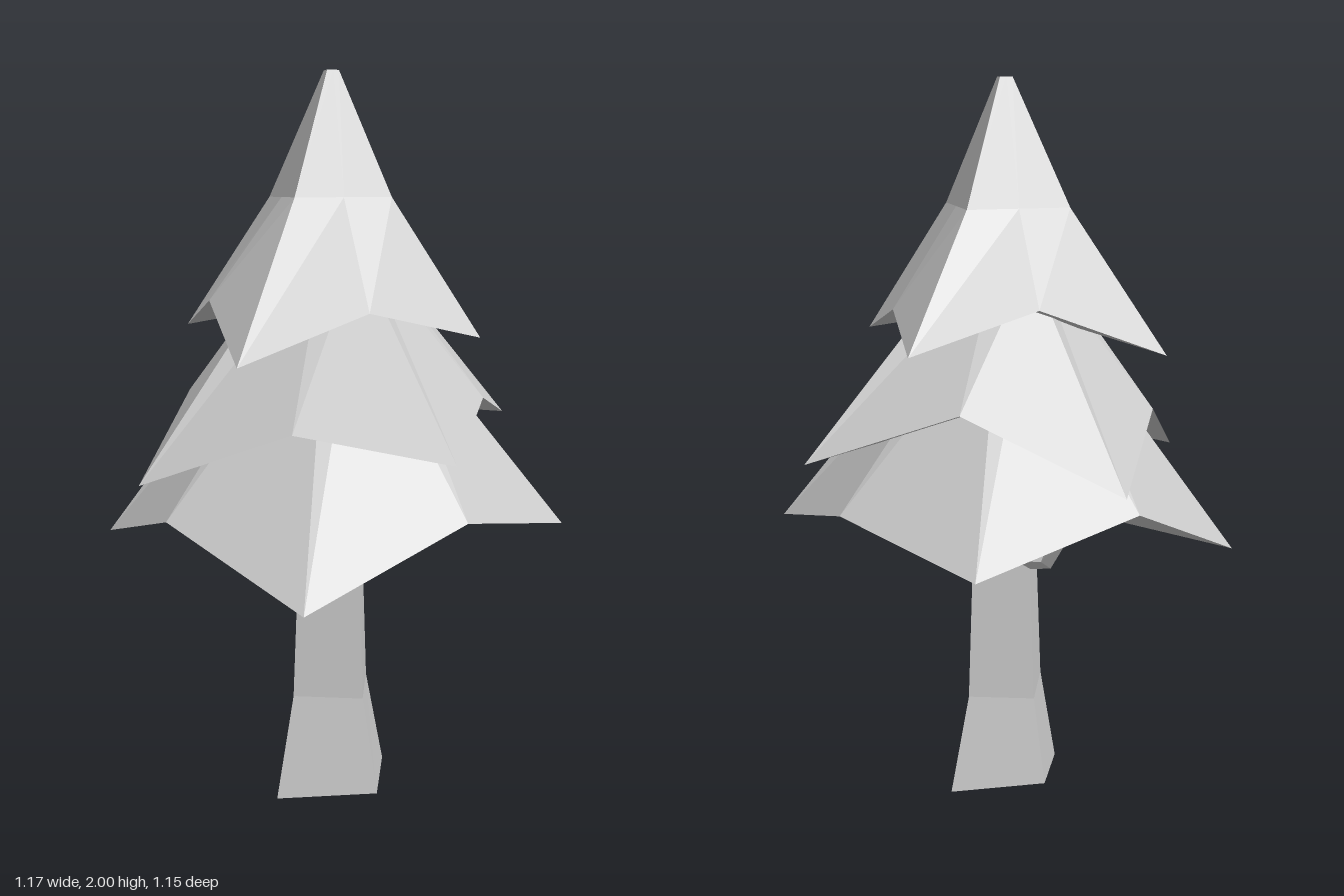
import * as THREE from 'three';

const grey = new THREE.MeshStandardMaterial({ color: 0xcccccc });
grey.name = 'light grey';
grey.flatShading = true;

const CENTRE_X = -0.012;

// Average of a ring of points
const middle = ring => ring.reduce((sum, p) => sum.add(p), new THREE.Vector3()).divideScalar(ring.length);

// Faceted skin over successive rings, closed at both ends
function loft(name, rings, bottom = middle(rings[0])) {
  const points = [];
  const top = rings[rings.length - 1];
  const count = top.length;
  const topCentre = middle(top);
  for (let i = 0; i < count; i++) {
    const j = (i + 1) % count;
    points.push(bottom, rings[0][j], rings[0][i], topCentre, top[i], top[j]);
    for (let r = 0; r < rings.length - 1; r++) {
      const low = rings[r], high = rings[r + 1];
      points.push(low[i], low[j], high[j], low[i], high[j], high[i]);
    }
  }
  const geometry = new THREE.BufferGeometry().setFromPoints(points);
  geometry.computeVertexNormals();
  const mesh = new THREE.Mesh(geometry, grey);
  mesh.name = name;
  return mesh;
}

// Tier of foliage: a drooping rim (corners and notches alternate) narrowing to square rings
function foliage(name, rimPoints, undersideY, levels) {
  const rim = rimPoints.map(p => new THREE.Vector3(...p));
  const rings = levels.map(([scale, y]) => {
    const ring = rim.map(p => new THREE.Vector3(CENTRE_X + (p.x - CENTRE_X) * scale, y, p.z * scale));
    for (let i = 1; i < ring.length; i += 2) {
      ring[i].lerpVectors(ring[i - 1], ring[(i + 1) % ring.length], 0.5);
    }
    return ring;
  });
  return loft(name, [rim, ...rings], new THREE.Vector3(CENTRE_X, undersideY, 0));
}

// Bent four-sided twig following [z, y, radius] points
function branch(name, path) {
  const side = new THREE.Vector3(1, 0, 0);
  const centres = path.map(([z, y]) => new THREE.Vector3(CENTRE_X, y, z));
  const rings = centres.map((p, i) => {
    const before = centres[Math.max(i - 1, 0)];
    const after = centres[Math.min(i + 1, centres.length - 1)];
    const up = after.clone().sub(before).normalize().cross(side);
    const r = path[i][2];
    return [[side, r], [up, r], [side, -r], [up, -r]].map(([d, k]) => p.clone().addScaledVector(d, k));
  });
  return loft(name, rings);
}

// Diamond trunk ring: front, right, back and left corners
function trunkRing(front, right, back, left, ys) {
  return [
    new THREE.Vector3(CENTRE_X, ys[0], front),
    new THREE.Vector3(right, ys[1], -0.01),
    new THREE.Vector3(CENTRE_X, ys[2], back),
    new THREE.Vector3(left, ys[3], 0),
  ];
}

export function createModel() {
  const tree = new THREE.Group();
  tree.name = 'tree';

  // Flared trunk with a slightly uneven foot
  tree.add(loft('trunk', [
    trunkRing(0.2, 0.19, -0.185, -0.21, [0.03, 0.012, 0.045, 0]),
    trunkRing(0.137, 0.125, -0.135, -0.15, [0.29, 0.29, 0.29, 0.29]),
    trunkRing(0.11, 0.1, -0.105, -0.12, [0.9, 0.9, 0.9, 0.9]),
  ]));

  // Twigs on the front and back of the trunk
  tree.add(branch('frontBranch', [[0.08, 0.7, 0.03], [0.18, 0.71, 0.024], [0.27, 0.79, 0.019], [0.32, 0.86, 0.015]]));
  tree.add(branch('backBranch', [[-0.08, 0.695, 0.03], [-0.19, 0.72, 0.024], [-0.25, 0.8, 0.019], [-0.268, 0.89, 0.015]]));

  // Three stacked tiers, each turned against the one below
  tree.add(foliage('lowerFoliage', [
    [0.44, 0.785, 0.45], [0.53, 0.905, 0],
    [0.44, 0.83, -0.455], [-0.01, 0.935, -0.545],
    [-0.46, 0.73, -0.455], [-0.555, 0.855, 0],
    [-0.46, 0.695, 0.45], [-0.01, 0.87, 0.54],
  ], 0.865, [[0.22, 1.4]]));

  tree.add(foliage('middleFoliage', [
    [-0.085, 1.03, 0.575], [0.24, 1.14, 0.335],
    [0.585, 1.035, 0.075], [0.33, 1.185, -0.25],
    [0.07, 1, -0.58], [-0.26, 1.135, -0.33],
    [-0.585, 0.94, -0.08], [-0.34, 1.09, 0.25],
  ], 1.12, [[0.22, 1.53]]));

  tree.add(foliage('upperFoliage', [
    [0.175, 1.31, 0.385], [0.285, 1.405, 0.1],
    [0.44, 1.335, -0.19], [0.125, 1.435, -0.31],
    [-0.19, 1.305, -0.445], [-0.325, 1.4, -0.13],
    [-0.455, 1.26, 0.18], [-0.14, 1.385, 0.31],
  ], 1.4, [[0.41, 1.67], [0.05, 2]]));

  return tree;
}
